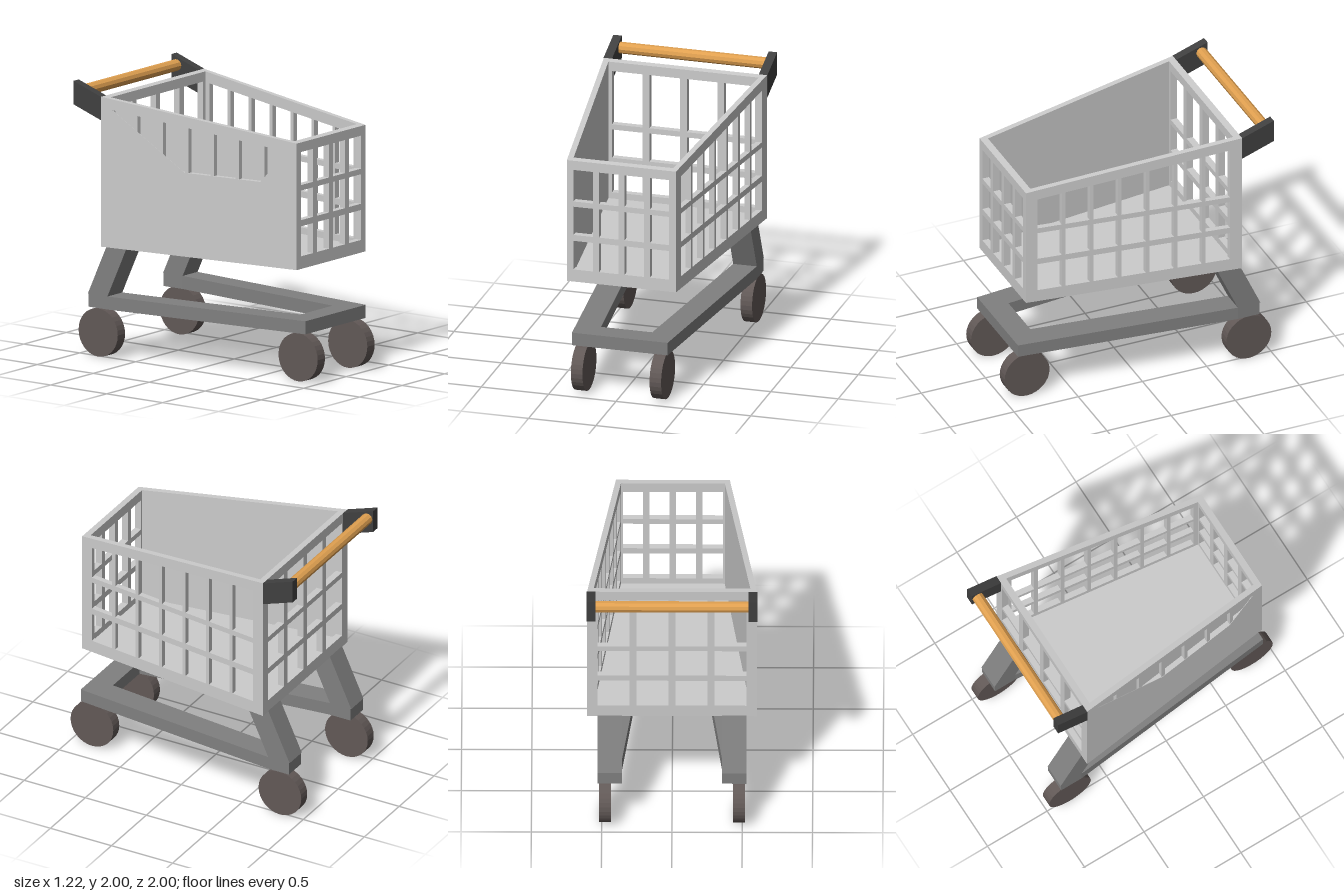
import * as THREE from 'three';

const mat = (color) => new THREE.MeshStandardMaterial({ color, flatShading: true });

// basket dimensions
const FRONT = 0.865, BACK = -0.73, BASE = 0.825, WALL = 0.042;
const along = (z) => (FRONT - z) / (FRONT - BACK);
const rim = (z) => 1.745 + 0.17 * along(z);
const halfWidth = (z) => 0.405 + 0.2 * along(z);
const ROWS = [[0.917, 1.135], [1.18, 1.395], [1.435, null]];

const vectors = (pts) => pts.map(([x, y]) => new THREE.Vector2(x, y));

function extrude(outline, holes, depth) {
  const shape = new THREE.Shape(vectors(outline));
  holes.forEach((h) => shape.holes.push(new THREE.Path(vectors(h))));
  return new THREE.ExtrudeGeometry(shape, { depth, bevelEnabled: false });
}

function moveVertices(geometry, rule) {
  const p = geometry.attributes.position, v = new THREE.Vector3();
  for (let i = 0; i < p.count; i++) {
    rule(v.fromBufferAttribute(p, i));
    p.setXYZ(i, v.x, v.y, v.z);
  }
  geometry.computeVertexNormals();
  return geometry;
}

// window grid; topAt(u) is the upper edge of the highest row
function windows(start, end, count, bar, topAt) {
  const size = (end - start - bar * (count - 1)) / count;
  const out = [];
  for (let i = 0; i < count; i++) {
    const a = start + i * (size + bar), b = a + size;
    for (const [low, high] of ROWS) {
      out.push([[a, low], [b, low], [b, high ?? topAt(b)], [a, high ?? topAt(a)]]);
    }
  }
  return out;
}

// side wall layer on +x, following the taper; d0..d1 is depth in from the outer face
function sideLayer(holes, d0, d1) {
  const outline = [[-FRONT, BASE], [-BACK, BASE], [-BACK, rim(BACK)], [-FRONT, rim(FRONT)]];
  const g = extrude(outline, holes, d1 - d0).rotateY(Math.PI / 2);
  return moveVertices(g, (v) => { v.x += halfWidth(v.z) - d1; });
}

// front or back wall with a top following the sloping rim
function endWall(z0, half, holeHalf, bar) {
  const top = rim(z0);
  const holes = windows(-holeHalf, holeHalf, 4, bar, () => top - 0.075);
  const g = extrude([[-half, BASE], [half, BASE], [half, top], [-half, top]], holes, 0.05);
  return moveVertices(g.translate(0, 0, z0), (v) => {
    if (Math.abs(v.y - top) < 0.001) v.y = rim(v.z);
  });
}

export function createModel() {
  const model = new THREE.Group();
  model.name = 'shoppingCart';
  const basketMat = mat(0xcccccc), frameMat = mat(0x808080);
  const gripMat = mat(0x404040), wheelMat = mat(0x625957), barMat = mat(0xe0a050);

  const add = (name, geometry, material, mirrored = false) => {
    const mesh = new THREE.Mesh(geometry, material);
    mesh.name = name;
    if (mirrored) mesh.scale.x = -1;
    model.add(mesh);
    return mesh;
  };

  // basket walls: open lattice on +x, lattice between two skins on -x
  const sideWindows = windows(-0.78, 0.64, 7, 0.028, (u) => rim(-u) - 0.077);
  add('leftBasketWall', sideLayer(sideWindows, 0, WALL), basketMat);
  add('rightBasketLattice', sideLayer(sideWindows, 0.003, WALL - 0.003), basketMat, true);
  const opening = [[-0.57, 1.435], [0.05, 1.435], [0.64, rim(-0.64) - 0.077], [-0.78, rim(0.78) - 0.077]];
  add('rightBasketOuterSkin', sideLayer([opening], 0, 0.003), basketMat, true);
  add('rightBasketInnerSkin', sideLayer([], WALL - 0.003, WALL), basketMat, true);
  add('frontBasketWall', endWall(FRONT - 0.05, 0.38, 0.355, 0.045), basketMat);
  add('backBasketWall', endWall(BACK, 0.575, 0.53, 0.05), basketMat);

  // basket floor
  const zf = FRONT - 0.01, zb = BACK + 0.01;
  const wf = halfWidth(zf) - 0.015, wb = halfWidth(zb) - 0.015;
  const floor = extrude([[-wf, -zf], [wf, -zf], [wb, -zb], [-wb, -zb]], [], 0.045);
  add('basketFloor', floor.rotateX(-Math.PI / 2).translate(0, BASE, 0), basketMat);

  // U-shaped lower frame, open at the back
  const half = [[0.355, -0.9], [0.53, -0.9], [0.53, -0.73], [0.355, 0.905]];
  const inner = [[0.19, 0.735], [0.355, -0.73]];
  const loop = [
    ...half, ...half.map(([x, z]) => [-x, z]).reverse(),
    ...inner.map(([x, z]) => [-x, z]).reverse(), ...inner,
  ].map(([x, z]) => [x, -z]);
  add('lowerFrame', extrude(loop, [], 0.095).rotateX(-Math.PI / 2).translate(0, 0.355, 0), frameMat);

  for (const side of [1, -1]) {
    const label = side > 0 ? 'left' : 'right';

    // slanted rear leg
    const leg = extrude([[0.73, 0.45], [0.905, 0.45], [0.73, 0.83], [0.555, 0.83]], [], 0.175);
    add(label + 'RearLeg', leg.rotateY(Math.PI / 2).translate(side * 0.4425 - 0.0875, 0, 0), frameMat);

    // handle bracket
    const bracket = extrude([[0.73, 1.745], [0.975, 1.83], [0.975, 2], [0.73, 1.915]], [], 0.063);
    add(label + 'HandleBracket', bracket.rotateY(Math.PI / 2).translate(side * 0.5765 - 0.0315, 0, 0), gripMat);

    // wheels
    for (const [name, x, z] of [['FrontWheel', 0.292, 0.825], ['RearWheel', 0.477, -0.82]]) {
      const wheel = new THREE.CylinderGeometry(0.175, 0.175, 0.086, 32).rotateZ(Math.PI / 2);
      add(label + name, wheel.translate(side * x, 0.175, z), wheelMat);
    }
  }

  // handle bar
  const bar = new THREE.CylinderGeometry(0.042, 0.042, 1.1, 10).rotateZ(Math.PI / 2);
  add('handleBar', bar.translate(0, 1.927, -0.928), barMat);

  return model;
}
